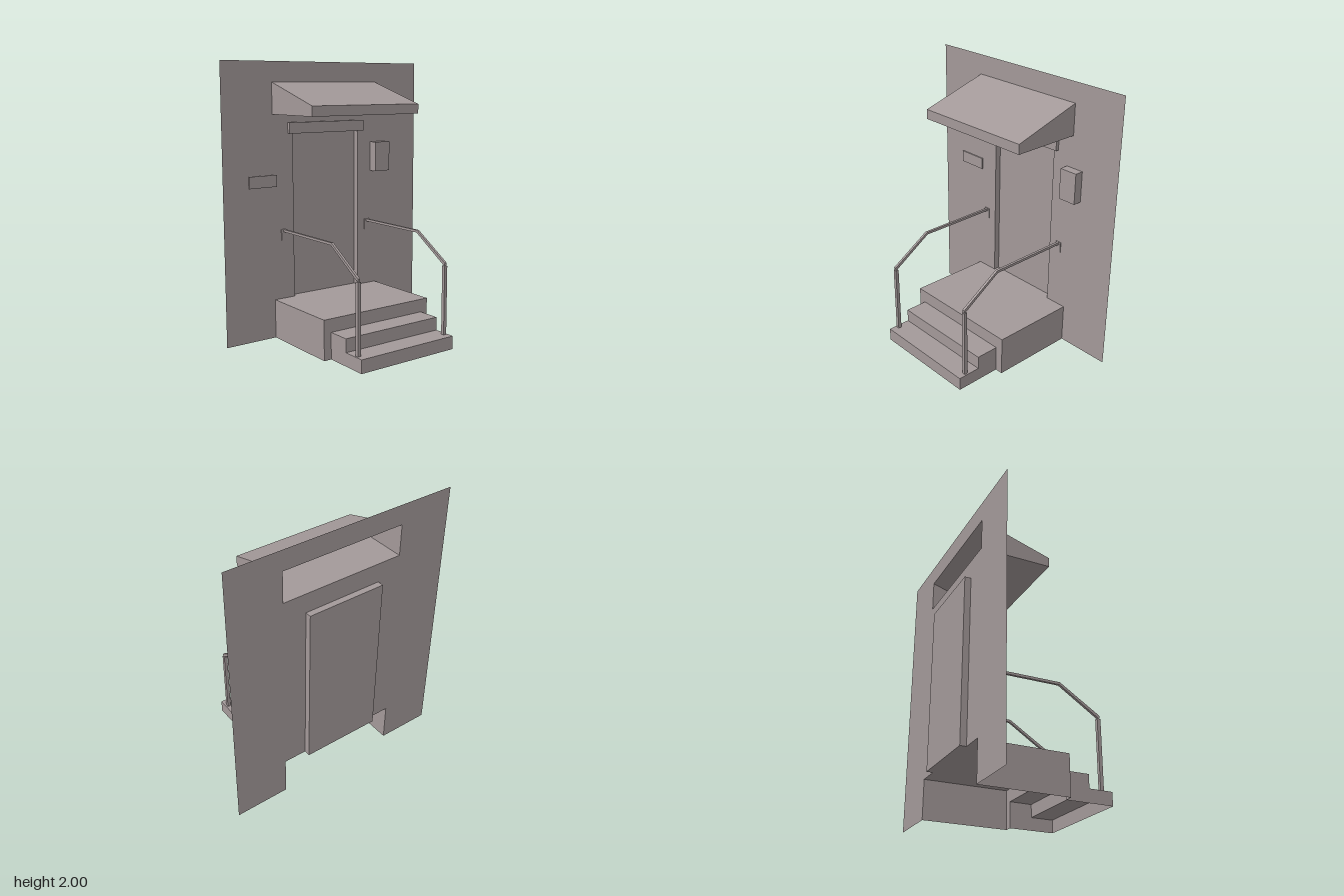
import * as THREE from 'three';

const WALL_Z = -0.46;
const HALF_STOOP = 0.457, HALF_STEP = 0.4, HALF_DOOR = 0.29;

export function createModel() {
  const model = new THREE.Group();
  model.name = 'entrance';
  const plaster = new THREE.MeshStandardMaterial({ color: 0xa39999, side: THREE.DoubleSide });
  plaster.name = 'warm grey';

  const add = (name, geometry, parent = model) => {
    const mesh = new THREE.Mesh(geometry, plaster);
    mesh.name = name;
    parent.add(mesh);
    return mesh;
  };
  const shapeOf = (points) => new THREE.Shape(points.map(([a, b]) => new THREE.Vector2(a, b)));
  const rectangle = (x0, x1, y0, y1) => [[x0, y0], [x1, y0], [x1, y1], [x0, y1]];

  // Box given by its extents
  const box = (name, [x0, x1], [y0, y1], [z0, z1], parent) => {
    const mesh = add(name, new THREE.BoxGeometry(x1 - x0, y1 - y0, z1 - z0), parent);
    mesh.position.set((x0 + x1) / 2, (y0 + y1) / 2, (z0 + z1) / 2);
  };

  // Open strip: a [z, y] polyline swept across the width
  const strip = (name, path, half, parent) => {
    const position = [];
    for (let i = 0; i < path.length - 1; i++) {
      const [z0, y0] = path[i], [z1, y1] = path[i + 1];
      const a = [-half, y0, z0], b = [-half, y1, z1], c = [half, y1, z1], d = [half, y0, z0];
      position.push(...a, ...b, ...c, ...a, ...c, ...d);
    }
    const geometry = new THREE.BufferGeometry();
    geometry.setAttribute('position', new THREE.Float32BufferAttribute(position, 3));
    geometry.computeVertexNormals();
    add(name, geometry, parent);
  };

  // Pair of flat cheeks with a [z, y] outline
  const cheeks = (name, outline, half, parent) => {
    for (const side of [-1, 1]) {
      const geometry = new THREE.ShapeGeometry(shapeOf(outline.map(([z, y]) => [side * -z, y])));
      geometry.rotateY(side * Math.PI / 2);
      add(name, geometry, parent).position.x = side * half;
    }
  };

  const group = (name) => {
    const g = new THREE.Group();
    g.name = name;
    model.add(g);
    return g;
  };

  // Thin wall, cut out behind the stoop, the door recess and the canopy
  const wall = shapeOf([
    [-0.855, 0], [-HALF_STOOP, 0], [-HALF_STOOP, 0.285], [-HALF_DOOR, 0.285],
    [-HALF_DOOR, 1.49], [HALF_DOOR, 1.49], [HALF_DOOR, 0.285], [HALF_STOOP, 0.285],
    [HALF_STOOP, 0], [0.855, 0], [0.855, 2], [-0.855, 2],
  ]);
  wall.holes.push(shapeOf(rectangle(-HALF_STOOP, HALF_STOOP, 1.63, 1.855)));
  add('wall', new THREE.ShapeGeometry(wall)).position.z = WALL_Z;

  // Door recess, open to the front
  const recess = group('doorRecess');
  const recessPath = [[WALL_Z, 1.49], [-0.505, 1.49], [-0.505, 0.285], [WALL_Z, 0.285]];
  strip('door', recessPath, HALF_DOOR, recess);
  cheeks('doorReveal', recessPath, HALF_DOOR, recess);

  // Sloping canopy, open at the back
  const canopy = group('canopy');
  const canopyPath = [[WALL_Z, 1.855], [0.052, 1.70], [0.052, 1.63], [WALL_Z, 1.63]];
  strip('canopyRoof', canopyPath, HALF_STOOP, canopy);
  cheeks('canopySide', canopyPath, HALF_STOOP, canopy);

  // Hollow landing and steps, open below
  const stoop = group('stoop');
  strip('landingTop', [[WALL_Z, 0.285], [0.17, 0.285]], HALF_STOOP, stoop);
  cheeks('landingSide', [[WALL_Z, 0], [0.17, 0], [0.17, 0.285], [WALL_Z, 0.285]], HALF_STOOP, stoop);
  const landingFront = shapeOf([
    [-HALF_STOOP, 0], [-HALF_STEP, 0], [-HALF_STEP, 0.19], [HALF_STEP, 0.19],
    [HALF_STEP, 0], [HALF_STOOP, 0], [HALF_STOOP, 0.285], [-HALF_STOOP, 0.285],
  ]);
  add('landingFront', new THREE.ShapeGeometry(landingFront), stoop).position.z = 0.17;
  const stepPath = [[0.17, 0.19], [0.34, 0.19], [0.34, 0.095], [0.51, 0.095], [0.51, 0]];
  strip('steps', stepPath, HALF_STEP, stoop);
  cheeks('stepSide', [...stepPath, [0.17, 0]], HALF_STEP, stoop);

  // Handrails: post, bent bar and wall bracket on each side
  const bar = shapeOf([
    [0.452, 0.597], [0.452, 0.612], [0.155, 0.80], [-0.455, 0.80],
    [-0.455, 0.782], [0.15, 0.782], [0.436, 0.597],
  ]);
  for (const side of [-1, 1]) {
    const rail = group(side > 0 ? 'leftHandrail' : 'rightHandrail');
    rail.position.x = side * 0.376;
    box('post', [-0.0125, 0.0125], [0.095, 0.59], [0.43, 0.455], rail);
    box('postPin', [-0.006, 0.006], [0.59, 0.60], [0.437, 0.449], rail);
    const geometry = new THREE.ExtrudeGeometry(bar, { depth: 0.018, bevelEnabled: false });
    geometry.translate(0, 0, -0.009).rotateY(-Math.PI / 2);
    add('railBar', geometry, rail);
    box('railBracket', [-0.022, 0.022], [0.72, 0.80], [WALL_Z, -0.453], rail);
  }

  // Fittings on the wall
  box('doorLintel', [-0.33, 0.33], [1.49, 1.57], [WALL_Z, -0.435]);
  box('letterBox', [0.414, 0.552], [1.175, 1.40], [WALL_Z, -0.395]);
  box('wallPlate', [-0.655, -0.432], [1.115, 1.20], [WALL_Z, -0.45]);

  return model;
}
